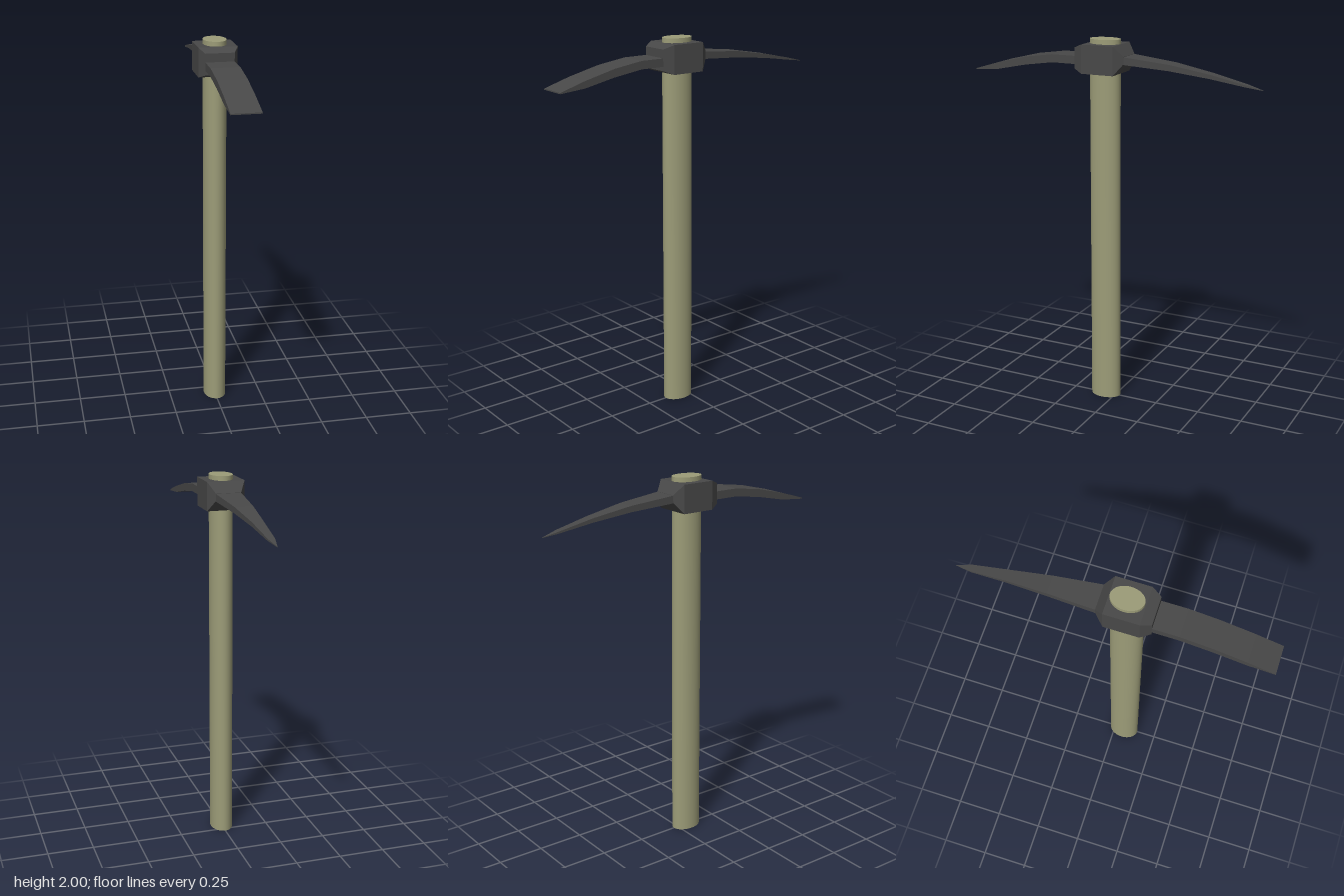
import * as THREE from 'three';

const metal = new THREE.MeshStandardMaterial({ color: 0x484848, flatShading: true });
const wood = new THREE.MeshStandardMaterial({ color: 0x9c9c78 });

// Skins rectangular sections [z, halfWidth, yBottom, yTop], listed by rising z
function loft(name, sections) {
  const rings = sections.map(([z, w, b, t]) => [[-w, b, z], [w, b, z], [w, t, z], [-w, t, z]]);
  const pos = [];
  const quad = (a, b, c, d) => pos.push(...a, ...b, ...c, ...a, ...c, ...d);
  for (let i = 0; i < rings.length - 1; i++) {
    const r = rings[i], s = rings[i + 1];
    for (let j = 0; j < 4; j++) {
      const k = (j + 1) % 4;
      quad(r[j], r[k], s[k], s[j]);
    }
  }
  quad(...rings[0].slice().reverse());
  quad(...rings[rings.length - 1]);
  const geometry = new THREE.BufferGeometry();
  geometry.setAttribute('position', new THREE.Float32BufferAttribute(pos, 3));
  geometry.computeVertexNormals();
  const mesh = new THREE.Mesh(geometry, metal);
  mesh.name = name;
  return mesh;
}

export function createModel() {
  const model = new THREE.Group();
  model.name = 'pickaxe';

  // Oval wooden shaft, passing through the head
  const handle = new THREE.Mesh(new THREE.CylinderGeometry(1, 1, 2, 32), wood);
  handle.name = 'handle';
  handle.scale.set(0.06, 1, 0.084);
  handle.position.set(0, 1, 0.057);
  model.add(handle);

  // Socket block with tapered ends
  model.add(loft('headBlock', [
    [-0.078, 0.067, 1.885, 1.922],
    [-0.033, 0.1, 1.826, 1.976],
    [0.147, 0.1, 1.826, 1.976],
    [0.198, 0.074, 1.846, 1.955],
  ]));

  // Flat curved blade at the front
  model.add(loft('flatBlade', [
    [0.19, 0.074, 1.869, 1.911],
    [0.33, 0.074, 1.869, 1.911],
    [0.49, 0.074, 1.846, 1.888],
    [0.66, 0.074, 1.811, 1.847],
    [0.8, 0.074, 1.799, 1.805],
  ]));

  // Tapering curved spike at the back
  model.add(loft('spike', [
    [-0.803, 0.001, 1.796, 1.798],
    [-0.72, 0.018, 1.809, 1.819],
    [-0.53, 0.03, 1.839, 1.861],
    [-0.32, 0.048, 1.865, 1.897],
    [-0.075, 0.067, 1.882, 1.921],
  ]));

  return model;
}
